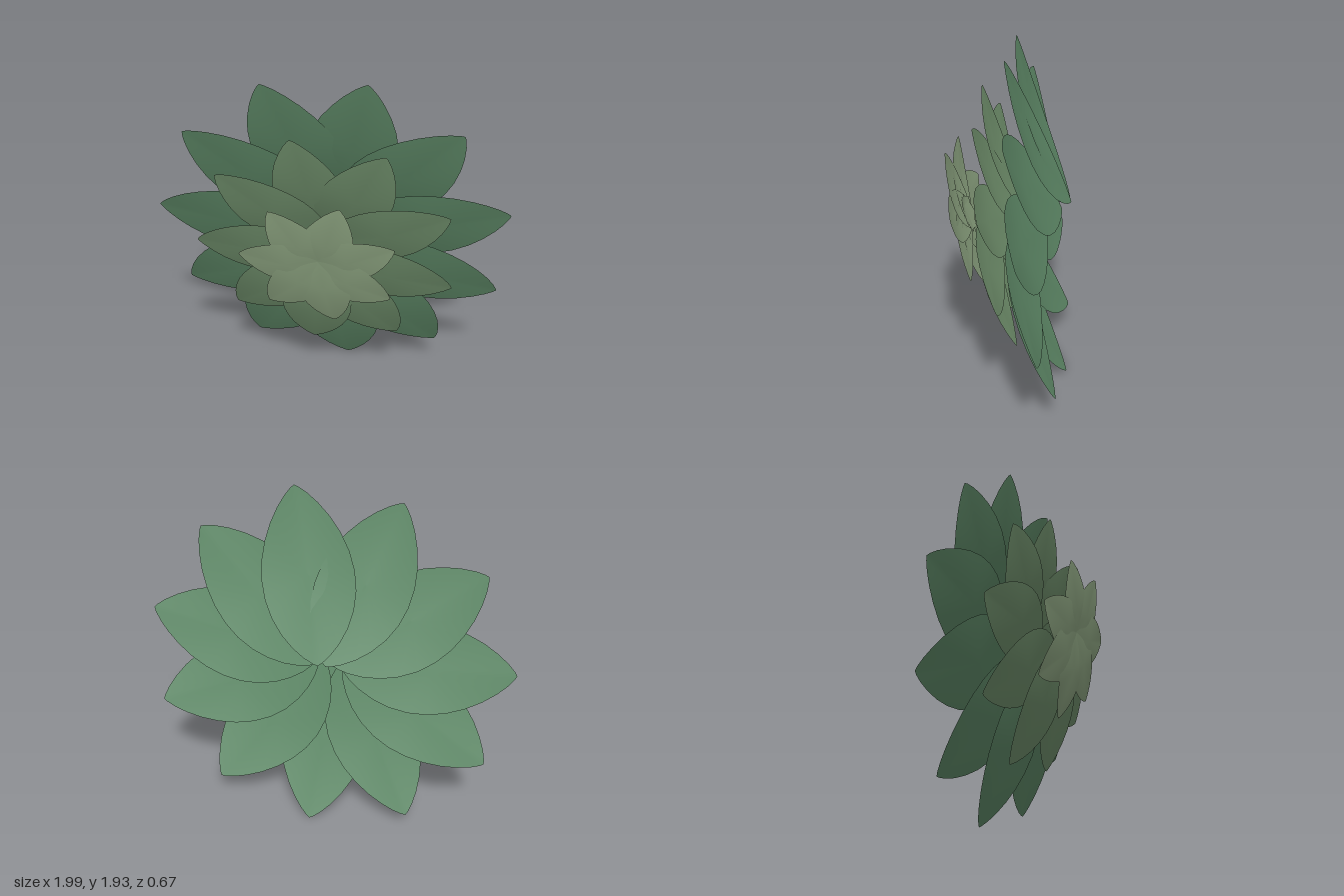
import * as THREE from 'three';

// Thin leaf along +x: a fan from a raised middle to a pointed oval rim that droops at both ends
function leafGeometry(halfLength, halfWidth, rise) {
  const segments = 28;
  const positions = [0, 0, rise], indices = [];
  for (let s = 0; s < segments; s++) {
    const a = (s / segments) * Math.PI * 2;
    const t = Math.cos(a);
    const w = Math.sign(Math.sin(a)) * Math.pow(Math.max(0, 1 - t * t), 0.8) * (1 - 0.1 * t);
    positions.push(halfLength * t, halfWidth * w, rise * 0.65 * (1 - t * t));
    indices.push(0, 1 + s, 1 + ((s + 1) % segments));
  }
  const geometry = new THREE.BufferGeometry();
  geometry.setAttribute('position', new THREE.Float32BufferAttribute(positions, 3));
  geometry.setIndex(indices);
  geometry.computeVertexNormals();
  return geometry;
}

// Ring of leaves whose middles sit on a circle; each leaf leans about x by tilt,
// and the whole ring leans by ringTilt
function leafRing({ name, count, start, radius, z, tilt, ringTilt, halfLength, halfWidth, rise, color }) {
  const ring = new THREE.Group();
  ring.name = name;
  ring.position.z = z;
  ring.rotation.x = ringTilt;
  const geometry = leafGeometry(halfLength, halfWidth, rise);
  const material = new THREE.MeshStandardMaterial({ color, side: THREE.DoubleSide });
  for (let i = 0; i < count; i++) {
    const a = THREE.MathUtils.degToRad(start) + (i / count) * Math.PI * 2;
    const leaf = new THREE.Mesh(geometry, material);
    leaf.name = 'leaf';
    leaf.position.set(Math.cos(a) * radius, Math.sin(a) * radius, 0);
    leaf.rotation.set(tilt, 0, a); // spin about its own face, then lean
    ring.add(leaf);
  }
  return ring;
}

export function createModel() {
  const model = new THREE.Group();
  model.name = 'succulentRosette';
  const rosette = new THREE.Group();
  rosette.name = 'rosette';
  rosette.position.y = 0.97;
  rosette.rotation.y = -0.018;
  rosette.add(
    leafRing({ name: 'outerLeaves', count: 11, start: 12.4, radius: 0.54, z: -0.165, tilt: 0.385, ringTilt: 0,
      halfLength: 0.47, halfWidth: 0.25, rise: 0.06, color: 0x5f8a68 }),
    leafRing({ name: 'middleLeaves', count: 9, start: 22.8, radius: 0.365, z: 0.035, tilt: 0.375, ringTilt: 0,
      halfLength: 0.37, halfWidth: 0.198, rise: 0.05, color: 0x71916d }),
    leafRing({ name: 'innerLeaves', count: 7, start: 21.8, radius: 0.165, z: 0.225, tilt: 0.04, ringTilt: 0.23,
      halfLength: 0.275, halfWidth: 0.145, rise: 0.04, color: 0x8ba27f })
  );
  model.add(rosette);
  return model;
}
